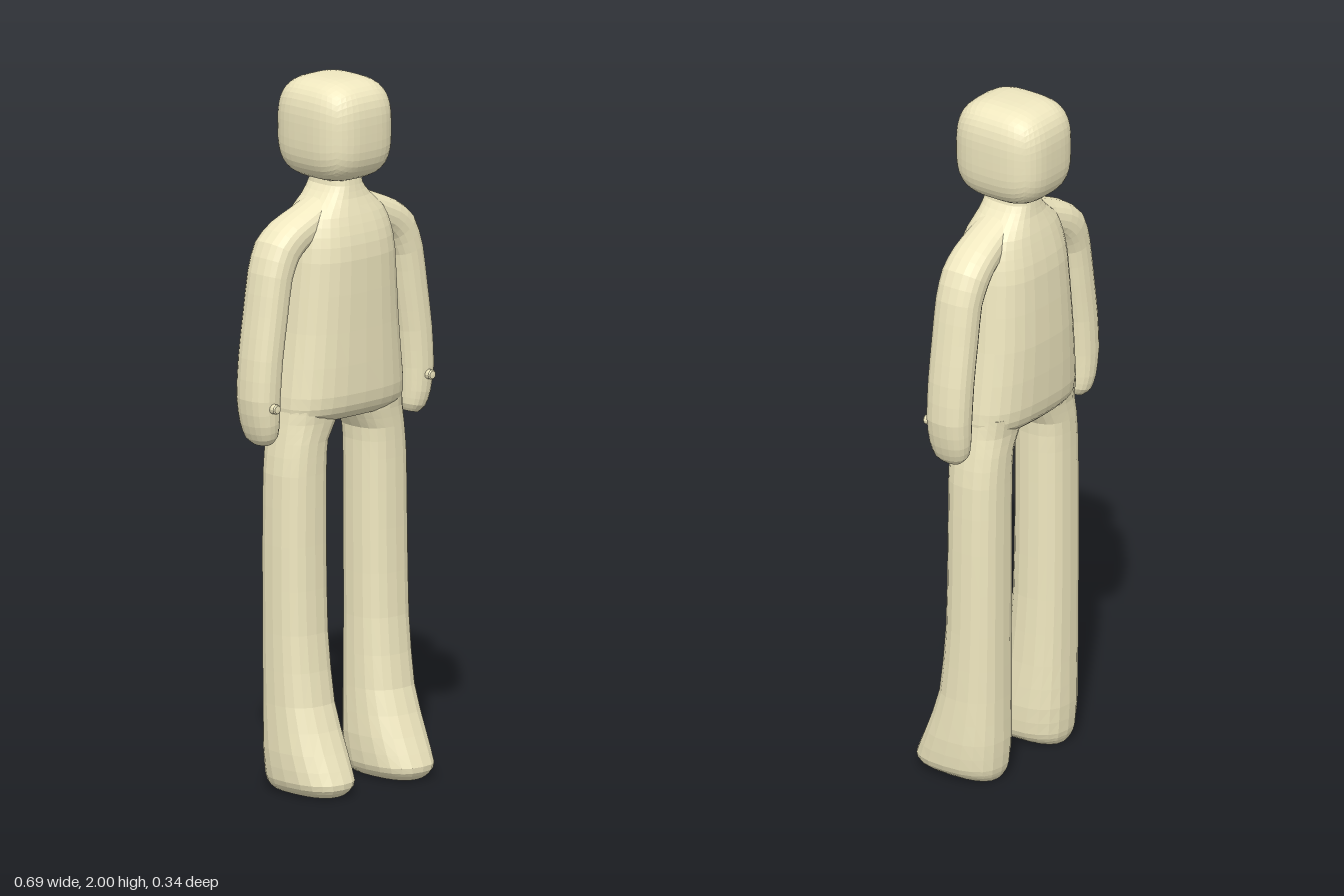
import * as THREE from 'three';

const material = new THREE.MeshStandardMaterial({ color: 0xf0e8c0, flatShading: true });

// Skin through sections [x, y, halfWidth, zBack, zFront], listed from top to bottom.
// side = -1 mirrors in x; follow = true turns each ring to stand across the path.
function loft(name, sections, { side = 1, follow = false, power = 2.4, sides = 20, steps = 2 } = {}) {
  const rows = [];
  const last = sections.length - 1;
  for (let k = 0; k <= last * steps; k++) {
    const i = Math.min(Math.floor(k / steps), last - 1);
    const t = k / steps - i;
    const at = (n) => sections[Math.max(0, Math.min(last, n))];
    rows.push(at(i).map((b, c) => {
      const a = at(i - 1)[c], d = at(i + 1)[c], e = at(i + 2)[c];
      // smooth curve through neighbours, with gentle tangents
      const m0 = (d - a) * 0.35, m1 = (e - b) * 0.35;
      const t2 = t * t, t3 = t2 * t;
      return b * (2 * t3 - 3 * t2 + 1) + m0 * (t3 - 2 * t2 + t) + d * (3 * t2 - 2 * t3) + m1 * (t3 - t2);
    }));
  }
  const pos = [], index = [];
  const bend = (v) => Math.sign(v) * Math.pow(Math.abs(v), 2 / power);
  rows.forEach(([x, y, w, zb, zf], r) => {
    const p = rows[Math.max(0, r - 1)], n = rows[Math.min(rows.length - 1, r + 1)];
    const dir = follow ? new THREE.Vector2(n[0] - p[0], n[1] - p[1]).normalize() : new THREE.Vector2(0, -1);
    for (let j = 0; j < sides; j++) {
      const a = (j / sides) * Math.PI * 2;
      const u = bend(Math.cos(a)) * w, v = bend(Math.sin(a));
      pos.push(side * (x - dir.y * u), y + dir.x * u, (zb + zf) / 2 + (v * (zf - zb)) / 2);
    }
  });
  const tri = (a, b, c) => (side > 0 ? index.push(a, b, c) : index.push(a, c, b));
  for (let r = 0; r < rows.length - 1; r++) {
    for (let j = 0; j < sides; j++) {
      const a = r * sides + j, b = r * sides + ((j + 1) % sides);
      tri(a, b, a + sides);
      tri(b, b + sides, a + sides);
    }
  }
  // end caps
  const end = (rows.length - 1) * sides;
  for (const [row, base, flip] of [[rows[0], 0, true], [rows[rows.length - 1], end, false]]) {
    const c = pos.length / 3;
    pos.push(side * row[0], row[1], (row[3] + row[4]) / 2);
    for (let j = 0; j < sides; j++) {
      const a = base + j, b = base + ((j + 1) % sides);
      flip ? tri(c, b, a) : tri(c, a, b);
    }
  }
  const g = new THREE.BufferGeometry();
  g.setAttribute('position', new THREE.Float32BufferAttribute(pos, 3));
  g.setIndex(index);
  g.computeVertexNormals();
  const mesh = new THREE.Mesh(g, material);
  mesh.name = name;
  return mesh;
}

// Rounded cube: a box pushed onto a superellipsoid
function makeHead() {
  const g = new THREE.BoxGeometry(2, 2, 2, 12, 12, 12);
  const p = g.attributes.position, v = new THREE.Vector3();
  for (let i = 0; i < p.count; i++) {
    v.fromBufferAttribute(p, i);
    const n = 3.2;
    const len = Math.pow(Math.abs(v.x) ** n + Math.abs(v.y) ** n + Math.abs(v.z) ** n, 1 / n);
    v.divideScalar(len);
    p.setXYZ(i, v.x * 0.13, 1.855 + v.y * 0.145, -0.026 + v.z * 0.147);
  }
  g.computeVertexNormals();
  const head = new THREE.Mesh(g, material);
  head.name = 'head';
  return head;
}

export function createModel() {
  const model = new THREE.Group();
  model.name = 'figure';
  model.add(makeHead());

  // Neck flowing into chest, waist and hips
  model.add(loft('torso', [
    [0, 1.74, 0.055, -0.095, 0.05],
    [0, 1.70, 0.06, -0.1, 0.055],
    [0, 1.665, 0.09, -0.105, 0.062],
    [0, 1.62, 0.14, -0.118, 0.078],
    [0, 1.57, 0.16, -0.13, 0.093],
    [0, 1.5, 0.172, -0.142, 0.103],
    [0, 1.3, 0.19, -0.15, 0.102],
    [0, 1.12, 0.212, -0.145, 0.1],
    [0, 1.07, 0.212, -0.133, 0.088],
    [0, 1.045, 0.19, -0.108, 0.058],
  ], { power: 2.7, sides: 28 }));

  for (const [side, label] of [[1, 'left'], [-1, 'right']]) {
    // Shoulder, arm and mitten hand
    model.add(loft(label + 'Arm', [
      [0.05, 1.635, 0.045, -0.08, 0.04],
      [0.12, 1.6, 0.05, -0.083, 0.044],
      [0.18, 1.572, 0.052, -0.09, 0.044],
      [0.222, 1.535, 0.057, -0.093, 0.043],
      [0.25, 1.47, 0.053, -0.09, 0.043],
      [0.268, 1.36, 0.052, -0.09, 0.043],
      [0.286, 1.24, 0.051, -0.09, 0.043],
      [0.294, 1.13, 0.05, -0.089, 0.042],
      [0.289, 1.06, 0.043, -0.085, 0.038],
      [0.282, 1.02, 0.035, -0.075, 0.028],
      [0.278, 1.0, 0.02, -0.055, 0.01],
    ], { side, follow: true }));

    // Thumb knob
    const thumb = new THREE.Mesh(new THREE.LatheGeometry([
      [0, 0], [0.019, 0], [0.014, 0.012], [0.014, 0.025], [0.011, 0.029], [0, 0.03],
    ].map(([r, h]) => new THREE.Vector2(r, h)), 12), material);
    thumb.rotation.x = Math.PI / 2;
    thumb.position.set(side * 0.297, 1.11, 0.028);
    thumb.name = label + 'Thumb';
    model.add(thumb);

    // Leg flaring into the foot
    model.add(loft(label + 'Leg', [
      [0.13, 1.1, 0.08, -0.12, 0.07],
      [0.126, 1.045, 0.091, -0.112, 0.064],
      [0.146, 0.99, 0.079, -0.11, 0.06],
      [0.153, 0.9, 0.083, -0.108, 0.058],
      [0.155, 0.7, 0.085, -0.107, 0.058],
      [0.155, 0.45, 0.086, -0.106, 0.064],
      [0.153, 0.25, 0.091, -0.105, 0.087],
      [0.152, 0.12, 0.098, -0.105, 0.135],
      [0.152, 0.04, 0.095, -0.1, 0.17],
      [0.152, 0.015, 0.082, -0.093, 0.163],
      [0.152, 0, 0.06, -0.085, 0.145],
    ], { side, power: 2.5 }));
  }
  return model;
}
